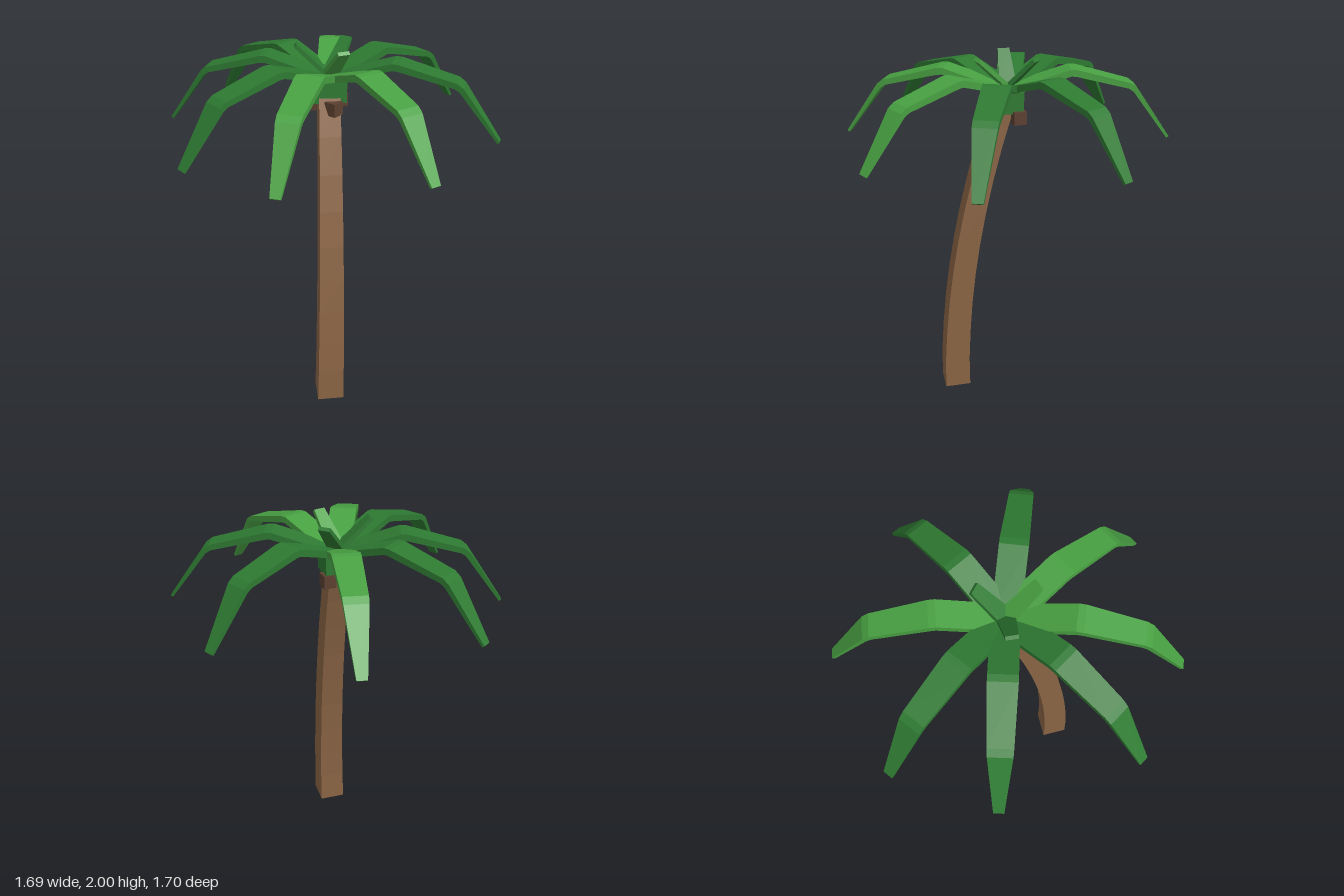
import * as THREE from 'three';

const mat = (name, color) => {
  const m = new THREE.MeshStandardMaterial({ color });
  m.name = name;
  return m;
};
const V = (x, y, z) => new THREE.Vector3(x, y, z);

// Sweeps a rectangle along a path; sizes holds [width, thickness] per point
function sweep(path, sizes, upRef) {
  const rings = path.map((p, i) => {
    const T = V(0, 0, 0);
    if (i > 0) T.add(p.clone().sub(path[i - 1]).normalize());
    if (i < path.length - 1) T.add(path[i + 1].clone().sub(p).normalize());
    T.normalize();
    const S = upRef.clone().cross(T).normalize();
    const U = T.clone().cross(S);
    const [w, h] = sizes[i];
    return [[1, -1], [1, 1], [-1, 1], [-1, -1]].map(([a, b]) =>
      p.clone().addScaledVector(S, a * w / 2).addScaledVector(U, b * h / 2));
  });
  const out = [];
  const quad = (a, b, c, d) => [a, b, c, a, c, d].forEach(v => out.push(v.x, v.y, v.z));
  for (let i = 0; i < rings.length - 1; i++) {
    for (let k = 0; k < 4; k++) {
      const n = (k + 1) % 4;
      quad(rings[i][k], rings[i][n], rings[i + 1][n], rings[i + 1][k]);
    }
  }
  const s = rings[0], e = rings[rings.length - 1];
  quad(s[3], s[2], s[1], s[0]);
  quad(e[0], e[1], e[2], e[3]);
  const g = new THREE.BufferGeometry();
  g.setAttribute('position', new THREE.Float32BufferAttribute(out, 3));
  g.computeVertexNormals();
  return g;
}

export function createModel() {
  const group = new THREE.Group();
  const bark = mat('bark brown', 0x8b6545);
  const shell = mat('coconut brown', 0x5c4030);
  const light = mat('light green', 0x48a142);
  const dark = mat('dark green', 0x2e7a32);
  const up = V(0, 1, 0);

  const add = (name, geometry, material) => {
    const m = new THREE.Mesh(geometry, material);
    m.name = name;
    group.add(m);
    return m;
  };

  // Curved square trunk, leaning back as it rises
  const path = [], sizes = [];
  const N = 9;
  for (let i = 0; i <= N; i++) {
    const t = i / N, w = 0.148 - 0.038 * t;
    path.push(V(-0.041 + 0.031 * t, 1.72 * t, 0.329 - 0.282 * t ** 2));
    sizes.push([w, w]);
  }
  path[1].z = 0.327;
  const trunk = sweep(path, sizes, V(0, 0, -1));
  // keep the foot flat on the ground
  const pos = trunk.attributes.position;
  for (let i = 0; i < pos.count; i++) if (pos.getY(i) < 0.03) pos.setY(i, 0);
  trunk.computeVertexNormals();
  add('trunk', trunk, bark);

  // Block the fronds grow from
  add('crownBlock', new THREE.BoxGeometry(0.17, 0.13, 0.16), dark).position.set(-0.005, 1.772, 0.02);

  // Coconuts: x, z, turn
  [[0.01, 0.11, 0.75], [0.063, -0.034, 0.1], [-0.1, 0.0, -0.2]].forEach(([x, z, turn]) => {
    const c = add('coconut', new THREE.BoxGeometry(0.068, 0.07, 0.068), shell);
    c.position.set(x, 1.685, z);
    c.rotation.y = turn;
  });

  // Drooping fronds: tip x, tip z, colour
  const fronds = [
    [0.145, -0.84, light], [0.75, -0.395, dark], [0.83, 0.33, dark], [0.385, 0.80, light],
    [-0.34, 0.83, light], [-0.76, 0.49, dark], [-0.83, -0.235, dark], [-0.525, -0.695, dark],
  ];
  // share of reach, height, width, thickness
  const profile = [
    [0, 1.815, 0.14, 0.035],
    [0.375, 1.917, 0.142, 0.035], [0.41, 1.915, 0.142, 0.035],
    [0.735, 1.843, 0.122, 0.03], [0.77, 1.822, 0.118, 0.028],
    [1, 1.55, 0.052, 0.015],
  ];
  for (const [x, z, m] of fronds) {
    const pts = profile.map(([f, y]) => V(x * f, y, 0.01 + (z - 0.01) * f));
    add('frond', sweep(pts, profile.map(p => [p[2], p[3]]), up), m);
  }

  // Short young leaves standing up in the middle
  [[-0.172, -0.005, dark], [0.105, -0.115, dark], [0.05, 0.178, light]].forEach(([x, z, m]) => {
    add('youngLeaf', sweep([V(0, 1.83, 0.01), V(x, 1.991, z)], [[0.095, 0.025], [0.062, 0.02]], up), m);
  });

  return group;
}
